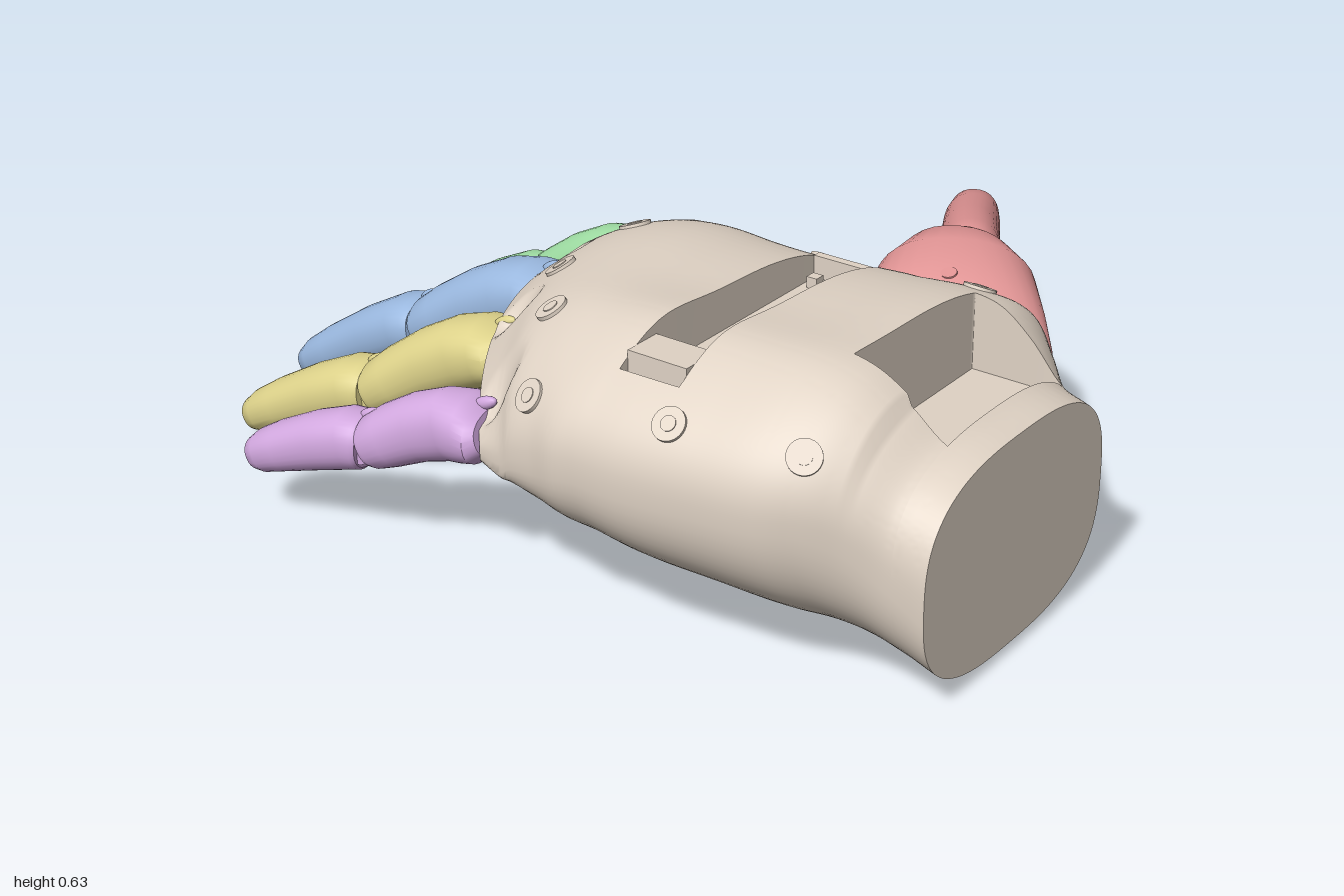
import * as THREE from 'three';
import { toCreasedNormals } from 'three/addons/utils/BufferGeometryUtils.js';

const mat = (name, color) => {
  const m = new THREE.MeshStandardMaterial({ color });
  m.name = name;
  return m;
};
const V = (x, y, z) => new THREE.Vector3(x, y, z);

// Skin over closed rings (clockwise when looking along the direction of travel), capped at both ends
function loft(rings, crease = 0.7) {
  const n = rings[0].length, pos = [], idx = [];
  rings.forEach(r => r.forEach(p => pos.push(p.x, p.y, p.z)));
  for (let i = 0; i < rings.length - 1; i++) {
    for (let j = 0; j < n; j++) {
      const a = i * n + j, b = i * n + (j + 1) % n;
      idx.push(a, b, a + n, b, b + n, a + n);
    }
  }
  [0, rings.length - 1].forEach(i => {
    const c = V(0, 0, 0);
    rings[i].forEach(p => c.addScaledVector(p, 1 / n));
    const k = pos.length / 3;
    pos.push(c.x, c.y, c.z);
    for (let j = 0; j < n; j++) {
      const a = i * n + j, b = i * n + (j + 1) % n;
      if (i) idx.push(k, a, b); else idx.push(k, b, a);
    }
  });
  const g = new THREE.BufferGeometry();
  g.setAttribute('position', new THREE.Float32BufferAttribute(pos, 3));
  g.setIndex(idx);
  return toCreasedNormals(g, crease);
}

// Rounded limb: sections are [x, y, z, half width, half height]
function limb(sections, sides = 32) {
  const c = sections.map(s => V(s[0], s[1], s[2]));
  return loft(sections.map((s, i) => {
    const dir = c[Math.min(i + 1, c.length - 1)].clone().sub(c[Math.max(i - 1, 0)]).normalize();
    const side = dir.clone().cross(V(0, 1, 0)).normalize();
    const up = side.clone().cross(dir);
    const sq = v => Math.sign(v) * Math.abs(v) ** 0.88;
    return Array.from({ length: sides }, (_, j) => {
      const a = -j / sides * Math.PI * 2;
      return c[i].clone().addScaledVector(side, sq(Math.cos(a)) * s[3]).addScaledVector(up, sq(Math.sin(a)) * s[4]);
    });
  }));
}

// Palm stations from wrist to knuckles: z, left, right, bottom, top, widest height, roundness, knuckle arch
const STATIONS = [
  [1.0, -0.75, -0.08, 0.02, 0.48, 0.25, 2.8, 0],
  [0.92, -0.755, -0.07, 0.03, 0.51, 0.3, 2.6, 0],
  [0.85, -0.785, -0.01, 0.04, 0.565, 0.36, 2.4, 0],
  [0.78, -0.825, 0.055, 0.052, 0.605, 0.39, 2.3, 0],
  [0.7, -0.86, 0.065, 0.065, 0.62, 0.39, 2.3, 0],
  [0.55, -0.885, 0.05, 0.088, 0.617, 0.39, 2.35, 0],
  [0.4, -0.9, 0.035, 0.11, 0.612, 0.385, 2.4, 0],
  [0.3, -0.9, 0.022, 0.13, 0.61, 0.385, 2.4, 0],
  [0.2, -0.9, 0.02, 0.155, 0.61, 0.39, 2.45, 0.15],
  [0.05, -0.885, 0.03, 0.21, 0.605, 0.4, 2.6, 0.45],
  [-0.08, -0.875, 0.04, 0.265, 0.57, 0.405, 2.8, 0.7],
  [-0.18, -0.865, 0.04, 0.31, 0.515, 0.4, 3, 0.95],
  [-0.24, -0.85, 0.035, 0.335, 0.465, 0.4, 3, 1],
];
// Rectangular pockets: x0, x1, z0, z1, floor height
const POCKETS = [[-0.57, -0.13, 0.72, 0.93, 0.42], [-0.77, 0.02, 0.33, 0.47, 0.52]];
// Cable openings: x, z, radius
const OPENINGS = [[-0.78, 0.02, 0.06], [-0.57, -0.11, 0.06], [-0.32, -0.185, 0.06], [-0.08, -0.145, 0.06], [-0.04, 0.57, 0.055]];

function palmGeometry() {
  const track = new THREE.CubicInterpolant(STATIONS.map(s => -s[0]), STATIONS.flatMap(s => s.slice(1)), 7);
  const cols = [-0.569, -0.131], rows = [0.929, 0.721, 0.469, 0.331];
  for (let i = 0; i <= 58; i++) cols.push(-0.7 + i * 0.01);
  for (let i = 0; i <= 124; i++) rows.push(1 - i * 0.01);
  cols.sort((a, b) => a - b);
  rows.sort((a, b) => b - a);
  const N = 18;
  return loft(rows.map(z => {
    const [xL, xR, yB, yT, mid, p, arch] = track.evaluate(-z);
    const s = Math.max(0, arch), cx = (xL + xR) / 2, hw = (xR - xL) / 2;
    const point = (x, top) => {
      const k = Math.max(0, 1 - Math.abs((x - cx) / hw) ** p) ** (1 / p);
      const bend = ((x + 0.25) / (x < -0.25 ? 0.62 : 0.55)) ** 2 * s;
      const zz = z + 0.28 * bend;
      let y = mid + ((top ? yT : yB) - mid) * k - 0.09 * bend;
      if (top) {
        if (z < 0.85) y += 0.03 * k * Math.exp(-(((x + 0.67) / 0.14) ** 2)) * (1 - s);
        for (const [a, b, c, d, f] of POCKETS) {
          if (x > a + 5e-4 && x < b - 5e-4 && z > c + 5e-4 && z < d - 5e-4) y = Math.min(y, f);
        }
        for (const [ox, oz, r] of OPENINGS) {
          y -= 0.045 * THREE.MathUtils.smoothstep(1 - Math.hypot(x - ox, zz - oz) / r, 0, 0.9);
        }
      }
      return V(x, y, zz);
    };
    const ring = [];
    for (let i = 0; i < N; i++) ring.push(point(xL + (cols[0] - xL) * (1 - Math.cos(i / N * Math.PI / 2)), true));
    cols.forEach(x => ring.push(point(x, true)));
    const last = cols[cols.length - 1];
    for (let i = 1; i <= N; i++) ring.push(point(last + (xR - last) * Math.sin(i / N * Math.PI / 2), true));
    for (let i = 1; i < 48; i++) ring.push(point(cx + hw * Math.cos(i / 48 * Math.PI), false));
    return ring;
  }), 0.8);
}

export function createModel() {
  const root = new THREE.Group();
  root.name = 'mechanicalHand';
  const add = (parent, name, geo, material, p = [0, 0, 0]) => {
    const m = new THREE.Mesh(geo, material);
    m.name = name;
    m.position.set(...p);
    parent.add(m);
    return m;
  };
  const beige = mat('shell beige', 0xe0d3c5), red = mat('thumb red', 0xe09494);

  // Palm shell with its pockets
  const palm = add(root, 'palm', palmGeometry(), beige);
  add(root, 'slotEndBlock', new THREE.BoxGeometry(0.09, 0.08, 0.14), beige, [-0.715, 0.555, 0.4]);
  add(root, 'slotDivider', new THREE.BoxGeometry(0.02, 0.06, 0.14), beige, [-0.12, 0.54, 0.4]);
  for (const x of [-0.62, -0.17]) add(root, 'slotPeg', new THREE.BoxGeometry(0.025, 0.03, 0.025), beige, [x, 0.53, 0.36]);

  // Screw seats set on the shell: a washer with a small head
  const seats = [[-0.84, 0.15], [-0.84, 0.49], [-0.79, 0.76], [-0.66, 0.06], [-0.45, -0.09],
    [-0.21, -0.08], [-0.02, -0.06], [-0.04, 0.3], [-0.06, 0.69]];
  for (const [x, z] of seats) {
    const hit = new THREE.Raycaster(V(x, 2, z), V(0, -1, 0)).intersectObject(palm)[0];
    if (!hit) continue;
    for (const [r, h] of [[0.035, 0.012], [0.016, 0.016]]) {
      const disc = add(root, 'screwSeat', new THREE.CylinderGeometry(r, r, h, 28), beige, hit.point.toArray());
      disc.quaternion.setFromUnitVectors(V(0, 1, 0), hit.face.normal);
    }
  }

  // Fingers: base, joint and tip centres, then half widths at base, joint and tip, then height scale
  const fingers = [
    ['indexFinger', mat('index green', 0xa1e0a5), [-0.06, 0.395, -0.18], [0.0, 0.24, -0.507], [0.04, 0.07, -0.865], [0.105, 0.083, 0.07], 1],
    ['middleFinger', mat('middle blue', 0x9ab8df), [-0.32, 0.4, -0.22], [-0.32, 0.237, -0.583], [-0.32, 0.018, -0.995], [0.1, 0.09, 0.072], 1],
    ['ringFinger', mat('ring yellow', 0xddd28a), [-0.55, 0.375, -0.16], [-0.6, 0.215, -0.487], [-0.635, 0.048, -0.865], [0.1, 0.082, 0.068], 0.95],
    ['littleFinger', mat('little purple', 0xd2a8df), [-0.78, 0.325, -0.02], [-0.825, 0.235, -0.297], [-0.873, 0.13, -0.61], [0.095, 0.067, 0.06], 0.9],
  ];
  for (const [name, material, b, j, t, w, h] of fingers) {
    const g = new THREE.Group();
    g.name = name;
    root.add(g);
    const A = V(...b), J = V(...j), T = V(...t);
    const sec = (P, Q, u, arch, hw, hh) => {
      const p = P.clone().lerp(Q, u);
      return [p.x, p.y + arch, p.z, hw, hh * h];
    };
    add(g, 'innerPhalanx', limb([
      sec(A, J, -0.08, 0, w[0] * 0.85, 0.05), sec(A, J, 0.0, 0, w[0], 0.066),
      sec(A, J, 0.12, 0.012, w[0] * 0.93, 0.078), sec(A, J, 0.3, 0.022, w[1] * 1.02, 0.084),
      sec(A, J, 0.55, 0.022, w[1], 0.08), sec(A, J, 0.8, 0.01, w[1] * 1.03, 0.074),
      sec(A, J, 0.94, 0.002, w[1] * 1.04, 0.066), sec(A, J, 0.98, 0, w[1] * 0.97, 0.058),
    ]), material);
    add(g, 'outerPhalanx', limb([
      sec(J, T, 0.015, 0, w[1] * 0.93, 0.06), sec(J, T, 0.05, 0.004, w[1], 0.068),
      sec(J, T, 0.15, 0.012, w[1], 0.073), sec(J, T, 0.4, 0.014, (w[1] + w[2]) / 2, 0.07),
      sec(J, T, 0.7, 0.01, w[2] * 1.02, 0.06), sec(J, T, 0.86, 0.005, w[2] * 0.95, 0.052),
      sec(J, T, 0.94, 0.002, w[2] * 0.74, 0.041), sec(J, T, 0.98, 0, w[2] * 0.46, 0.027),
      sec(J, T, 1, 0, w[2] * 0.1, 0.008),
    ]), material);
    // Hinge core inside the joint gap and the tendon guides above it
    const pin = add(g, 'hingePin', new THREE.CylinderGeometry(0.035, 0.035, w[1] * 1.5, 16), material, j);
    pin.rotation.z = Math.PI / 2;
    for (const [p, lift] of [[J, 0.068], [A, 0.068]]) {
      const guide = add(g, 'tendonGuide', new THREE.SphereGeometry(1, 16, 10), material, [p.x, p.y + lift * h, p.z]);
      guide.scale.set(0.013, 0.014, 0.032);
      guide.rotation.x = -0.4;
    }
  }

  // Thumb: broad mount that narrows to the joint, then the tip segment
  const thumb = new THREE.Group();
  thumb.name = 'thumb';
  root.add(thumb);
  add(thumb, 'thumbMount', limb([
    [0.03, 0.36, 0.545, 0.245, 0.055], [0.06, 0.365, 0.538, 0.235, 0.078], [0.13, 0.382, 0.512, 0.205, 0.105],
    [0.23, 0.402, 0.462, 0.175, 0.12], [0.29, 0.395, 0.43, 0.138, 0.117], [0.34, 0.382, 0.417, 0.085, 0.107],
    [0.375, 0.37, 0.41, 0.06, 0.094],
  ]), red);
  add(thumb, 'thumbTip', limb([
    [0.385, 0.366, 0.405, 0.06, 0.09], [0.4, 0.364, 0.397, 0.067, 0.1], [0.46, 0.355, 0.362, 0.072, 0.102],
    [0.6, 0.325, 0.278, 0.07, 0.097], [0.76, 0.29, 0.188, 0.069, 0.088], [0.845, 0.273, 0.143, 0.063, 0.078],
    [0.887, 0.265, 0.121, 0.048, 0.06], [0.907, 0.26, 0.111, 0.03, 0.038], [0.916, 0.258, 0.106, 0.008, 0.01],
  ]), red);
  add(thumb, 'thumbHinge', new THREE.CylinderGeometry(0.04, 0.04, 0.14, 16), red, [0.38, 0.368, 0.408]);
  const screw = add(thumb, 'thumbScrew', new THREE.CylinderGeometry(0.018, 0.018, 0.014, 20), red, [0.12, 0.483, 0.51]);
  screw.rotation.z = 0.3;
  return root;
}
